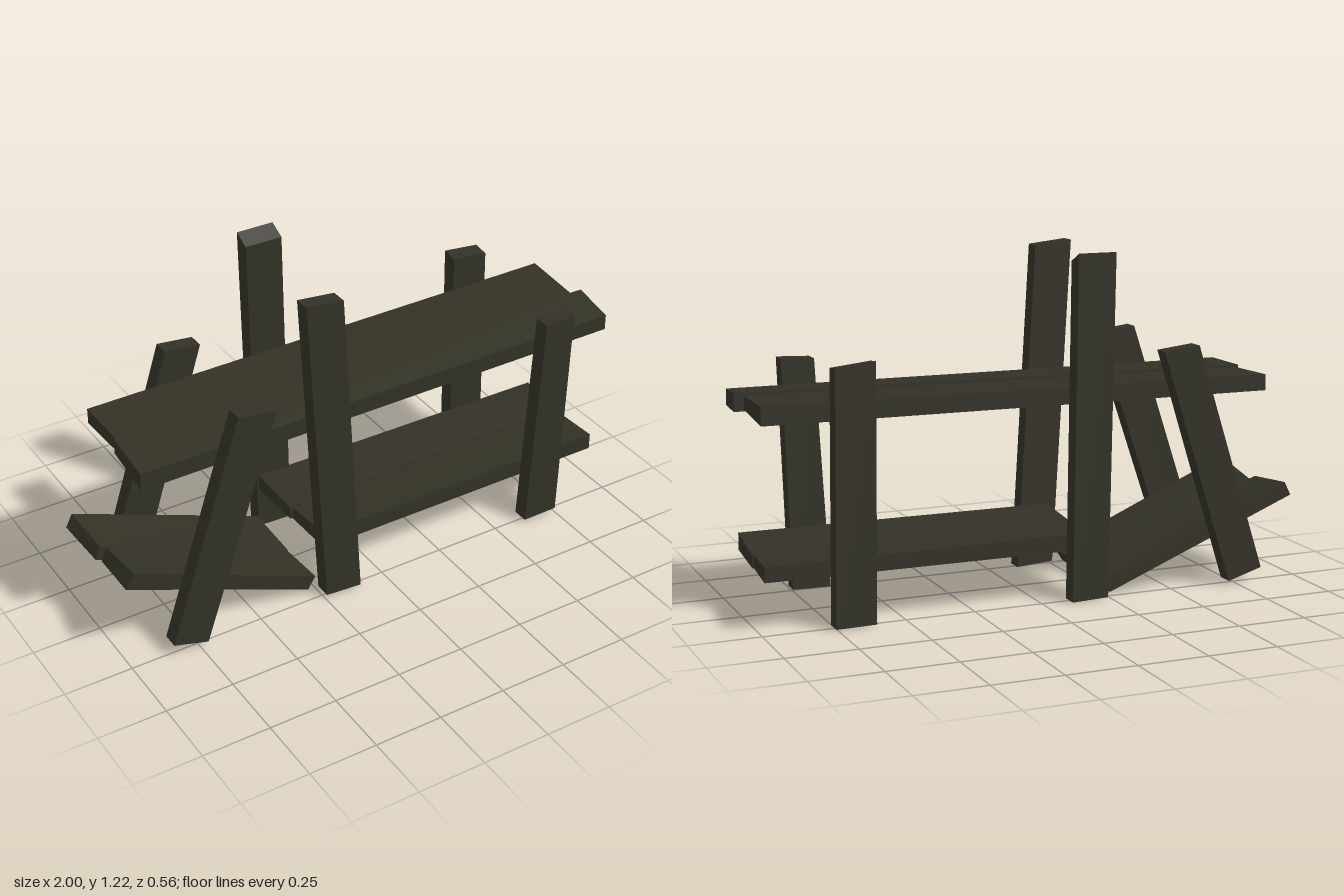
import * as THREE from 'three';

// Skewed timber: front and back outlines, each bottom-left, bottom-right, top-right, top-left
function timber(front, back) {
  const c = [...front, ...back];
  const faces = [
    [0, 1, 2, 3], [5, 4, 7, 6], // front, back
    [3, 2, 6, 7], [4, 5, 1, 0], // top, bottom
    [1, 5, 6, 2], [4, 0, 3, 7], // ends
  ];
  const pos = [];
  for (const [a, b, d, e] of faces) {
    for (const i of [a, b, d, a, d, e]) pos.push(...c[i]);
  }
  const g = new THREE.BufferGeometry();
  g.setAttribute('position', new THREE.Float32BufferAttribute(pos, 3));
  g.computeVertexNormals();
  return g;
}

export function createModel() {
  const group = new THREE.Group();
  const wood = new THREE.MeshStandardMaterial({ color: 0x333126 });
  wood.name = 'dark weathered wood';

  const add = (name, front, back) => {
    const mesh = new THREE.Mesh(timber(front, back), wood);
    mesh.name = name;
    group.add(mesh);
  };

  // Post: one outline pushed from z0 to z1, its top cut lower by drop on the front side
  const post = (name, outline, z0, z1, drop = 0) => add(
    name,
    outline.map(([x, y], i) => [x, i > 1 ? y - drop : y, z1]),
    outline.map(([x, y]) => [x, y, z0]),
  );

  // Front posts
  post('frontLeaningPost', [[-0.85, 0.05], [-0.72, 0.012], [-0.43, 0.86], [-0.575, 0.88]], 0.215, 0.275);
  post('frontTallPost', [[-0.245, 0.015], [-0.105, 0.005], [-0.175, 1.195], [-0.315, 1.21]], 0.215, 0.275);
  post('frontShortPost', [[0.617, 0.01], [0.755, 0.012], [0.783, 0.84], [0.663, 0.835]], 0.215, 0.275);

  // Back posts
  post('backLeaningPost', [[-0.85, 0.05], [-0.72, 0.012], [-0.45, 0.86], [-0.585, 0.875]], -0.28, -0.22);
  post('backTallPost', [[-0.24, 0.005], [-0.105, 0], [-0.12, 1.215], [-0.26, 1.215]], -0.28, -0.22, 0.03);
  post('backShortPost', [[0.613, 0.005], [0.755, 0.003], [0.745, 0.88], [0.605, 0.895]], -0.28, -0.22, 0.008);

  // Upper pair of planks
  add('upperFrontPlank',
    [[-0.905, 0.677, 0.212], [0.98, 0.692, 0.212], [0.98, 0.75, 0.212], [-0.905, 0.742, 0.212]],
    [[-0.89, 0.69, -0.01], [1, 0.7, 0.035], [1, 0.765, 0.035], [-0.89, 0.748, -0.01]]);
  add('upperBackPlank',
    [[-0.88, 0.692, -0.012], [0.965, 0.705, 0.033], [0.965, 0.752, 0.033], [-0.88, 0.74, -0.012]],
    [[-0.885, 0.687, -0.222], [0.98, 0.695, -0.222], [0.98, 0.76, -0.222], [-0.885, 0.745, -0.222]]);

  // Lower pair of planks
  add('lowerFrontPlank',
    [[-0.22, 0.175, 0.212], [0.95, 0.178, 0.212], [0.95, 0.24, 0.212], [-0.22, 0.237, 0.212]],
    [[-0.22, 0.168, 0], [0.965, 0.17, -0.022], [0.965, 0.215, -0.022], [-0.22, 0.217, 0]]);
  add('lowerBackPlank',
    [[-0.23, 0.17, -0.002], [0.96, 0.17, -0.024], [0.96, 0.217, -0.024], [-0.23, 0.22, -0.002]],
    [[-0.235, 0.17, -0.222], [0.98, 0.172, -0.222], [0.98, 0.225, -0.222], [-0.235, 0.23, -0.222]]);

  // Fallen pair of planks
  add('fallenFrontPlank',
    [[-0.985, 0.305, 0.212], [-0.285, 0.015, 0.212], [-0.255, 0.062, 0.212], [-0.95, 0.357, 0.212]],
    [[-0.965, 0.265, -0.018], [-0.285, 0.008, 0.025], [-0.26, 0.055, 0.025], [-0.945, 0.315, -0.018]]);
  add('fallenBackPlank',
    [[-0.985, 0.277, -0.022], [-0.28, 0.008, 0.022], [-0.255, 0.052, 0.022], [-0.965, 0.325, -0.022]],
    [[-1, 0.293, -0.222], [-0.275, 0.005, -0.222], [-0.245, 0.05, -0.222], [-0.975, 0.342, -0.222]]);

  return group;
}
